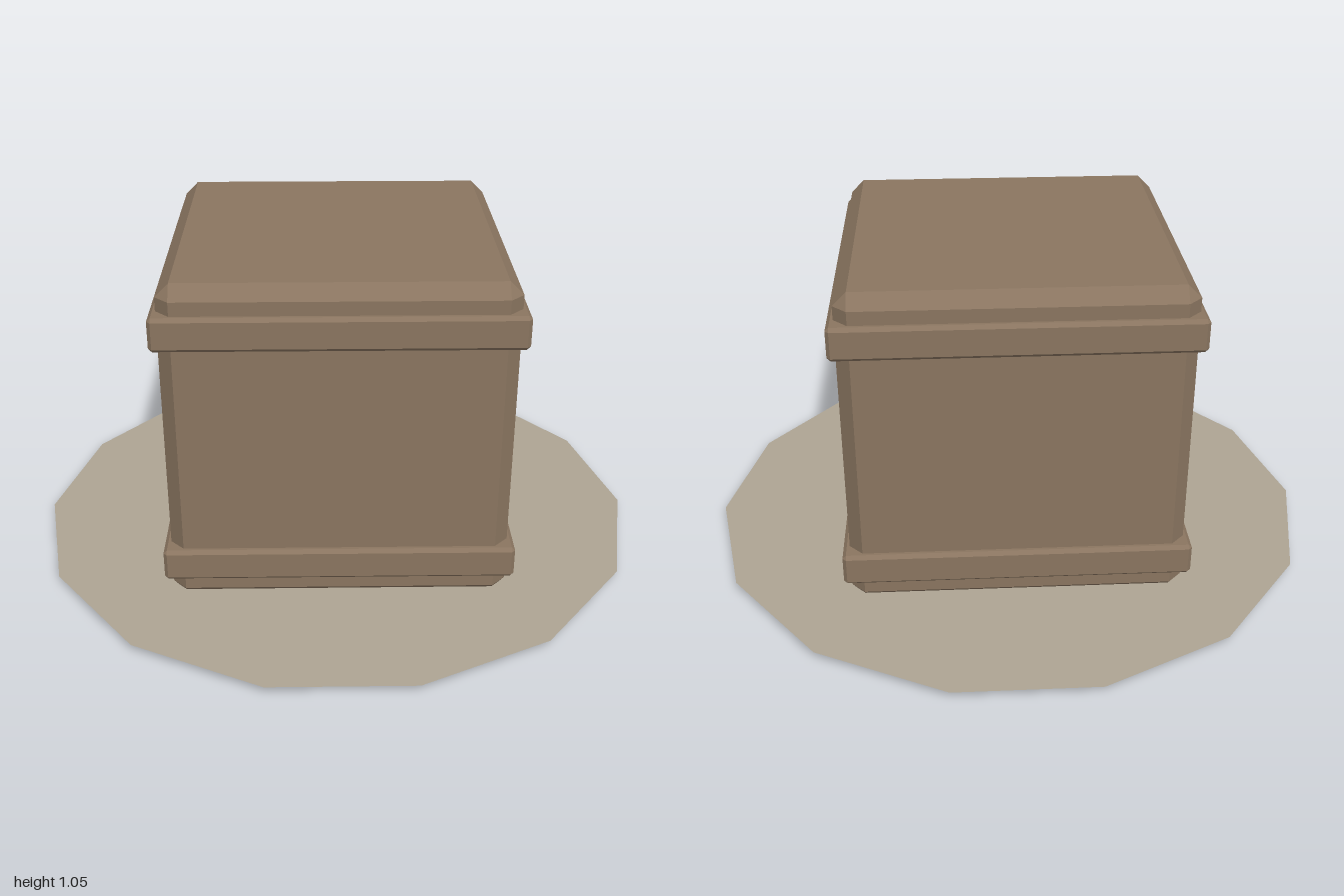
import * as THREE from 'three';
import { ConvexGeometry } from 'three/addons/geometries/ConvexGeometry.js';

// Box with every edge and corner cut flat by c
function chamferedBox(w, h, d, c) {
  const half = [w / 2, h / 2, d / 2];
  const points = [];
  for (const sx of [-1, 1]) for (const sy of [-1, 1]) for (const sz of [-1, 1]) {
    for (let axis = 0; axis < 3; axis++) {
      const [x, y, z] = half.map((v, i) => (i === axis ? v : v - c));
      points.push(new THREE.Vector3(sx * x, sy * y, sz * z));
    }
  }
  return new ConvexGeometry(points);
}

export function createModel() {
  const wood = new THREE.MeshStandardMaterial({ name: 'brown wood', color: 0x8a7560 });
  const dust = new THREE.MeshStandardMaterial({ name: 'pale dust', color: 0xada493, side: THREE.DoubleSide });
  const model = new THREE.Group();
  model.name = 'crate';

  const add = (name, geometry, material, y) => {
    const mesh = new THREE.Mesh(geometry, material);
    mesh.name = name;
    mesh.position.y = y;
    model.add(mesh);
  };

  // Main body
  add('body', chamferedBox(1.05, 1.055, 1.05, 0.042), wood, 0.5275);

  // Raised bands around the bottom and top
  const band = chamferedBox(1.09, 0.105, 1.09, 0.011);
  add('lowerBand', band, wood, 0.1375);
  add('upperBand', band, wood, 0.9175);

  // Flat ground patch with fourteen sides
  add('groundPatch', new THREE.CircleGeometry(1, 14).rotateX(-Math.PI / 2), dust, 0.025);

  return model;
}
